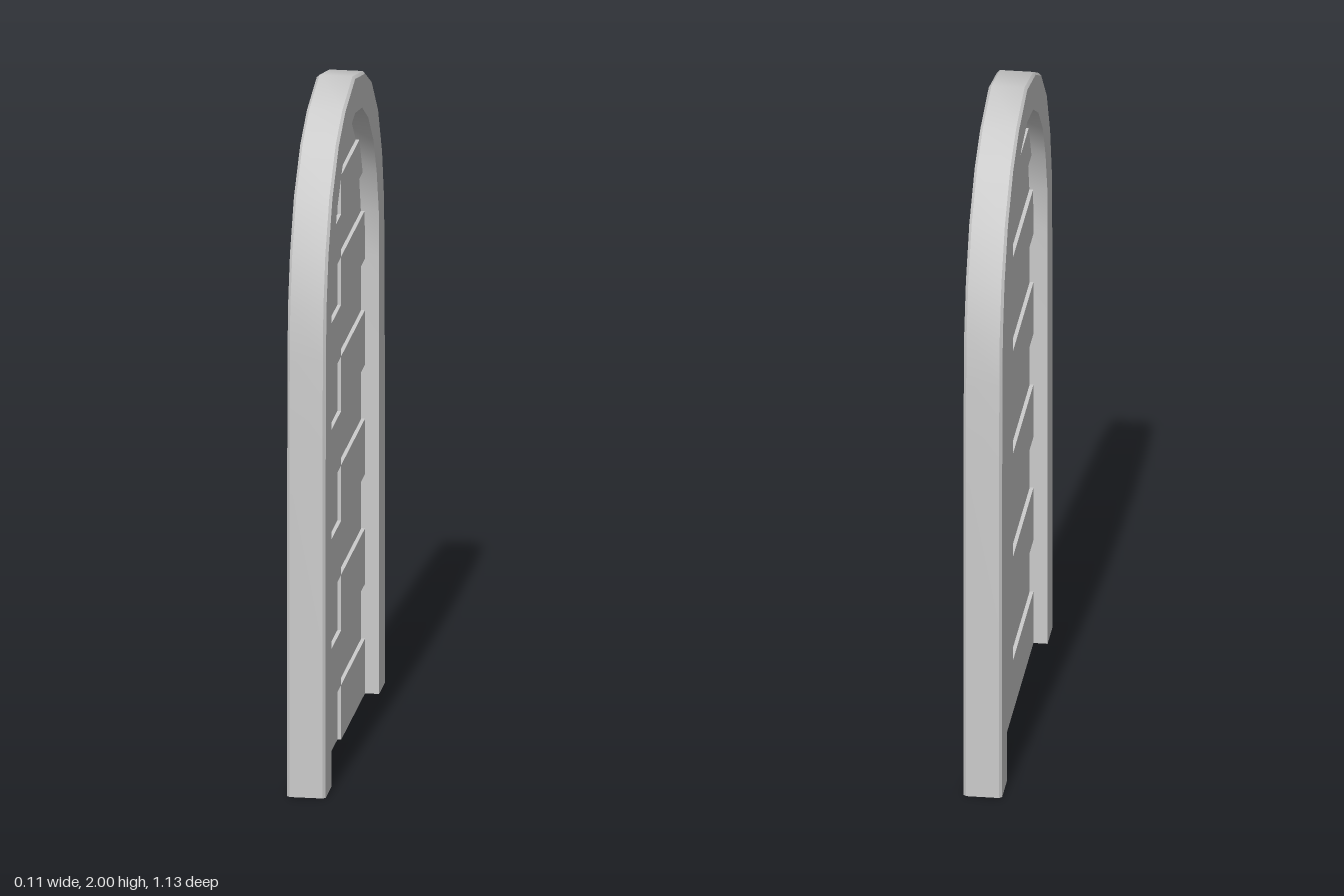
import * as THREE from 'three';
import { toCreasedNormals } from 'three/addons/utils/BufferGeometryUtils.js';

// Half of the arch, from the foot to the crown: [inner z, inner y, outer z, outer y]
const HALF = [
  [0.45, 0, 0.565, 0], [0.45, 0.99, 0.565, 1.0], [0.449, 1.31, 0.56, 1.31],
  [0.443, 1.46, 0.55, 1.47], [0.405, 1.585, 0.513, 1.62], [0.345, 1.7, 0.437, 1.77],
  [0.245, 1.8, 0.315, 1.893], [0.13, 1.866, 0.19, 1.957], [0, 1.89, 0, 2],
];
const ROWS = [0, 0.165, 0.33, 0.497, 0.66, 0.827, 0.99, 1.155, 1.31, 1.455, 1.583, 1.7, 1.8, 1.89];
const HALF_DEPTH = 0.056;

const material = new THREE.MeshStandardMaterial({ color: 0xcccccc, side: THREE.DoubleSide });

// Half width of the opening at height y
function openingAt(y) {
  for (let i = 1; i < HALF.length; i++) {
    const [za, ya] = HALF[i - 1], [zb, yb] = HALF[i];
    if (y <= yb) return za + (zb - za) * (y - ya) / (yb - ya);
  }
  return 0;
}

// Hollow arch: a bevelled rectangular section swept along both halves, open at the feet
function frameGeometry() {
  const mirrored = HALF.slice(0, -1).reverse().map(([a, b, c, d]) => [-a, b, -c, d]);
  const path = [...HALF, ...mirrored];
  const d = HALF_DEPTH, b = 0.008, t = 0.07;
  // [x, position from the inner edge (0) to the outer edge (1)]
  const section = [[-d, 0], [-d, 1 - t], [b - d, 1], [d - b, 1], [d, 1 - t], [d, 0]];
  const n = section.length, positions = [], index = [];
  for (const [iz, iy, oz, oy] of path) {
    for (const [x, k] of section) positions.push(x, iy + (oy - iy) * k, iz + (oz - iz) * k);
  }
  for (let i = 0; i < path.length - 1; i++) {
    for (let j = 0; j < n; j++) {
      const a = i * n + j, c = i * n + (j + 1) % n;
      index.push(a, c, a + n, c, c + n, a + n);
    }
  }
  const geometry = new THREE.BufferGeometry();
  geometry.setAttribute('position', new THREE.Float32BufferAttribute(positions, 3));
  geometry.setIndex(index);
  return toCreasedNormals(geometry, 0.5);
}

// One plank, from the seam at z = cut to the frame on the given side
function plank(name, row, side, cut, x0, x1) {
  const y0 = ROWS[row], y1 = ROWS[row + 1];
  const points = [[cut, y0], [side * openingAt(y0), y0]];
  for (const [z, y] of HALF) if (y > y0 + 0.01 && y < y1 - 0.01) points.push([side * z, y]);
  points.push([side * openingAt(y1), y1]);
  if (row < ROWS.length - 2) points.push([cut, y1]);
  const shape = new THREE.Shape(points.map(([z, y]) => new THREE.Vector2(-z, y)));
  const geometry = new THREE.ExtrudeGeometry(shape, { depth: x1 - x0, bevelEnabled: false });
  geometry.translate(0, 0, x0).rotateY(Math.PI / 2);
  const mesh = new THREE.Mesh(geometry, material);
  mesh.name = name;
  return mesh;
}

export function createModel() {
  const model = new THREE.Group();
  model.name = 'archedDoor';

  const frame = new THREE.Mesh(frameGeometry(), material);
  frame.name = 'frame';
  model.add(frame);

  // Two layers of planks, raised and recessed in turn from row to row
  const planks = new THREE.Group();
  planks.name = 'planks';
  const high = 0.015, low = 0.004;
  for (let row = 0; row < ROWS.length - 1; row++) {
    const even = row % 2 === 0;
    const backCut = even && row < ROWS.length - 2 ? -0.19 : 0;
    for (const side of [1, -1]) {
      const raisedFace = even === (side < 0);
      planks.add(plank('facePlank', row, side, 0, 0, raisedFace ? high : low));
      planks.add(plank('reversePlank', row, side, backCut, raisedFace ? -low : -high, 0));
    }
  }
  model.add(planks);
  return model;
}
